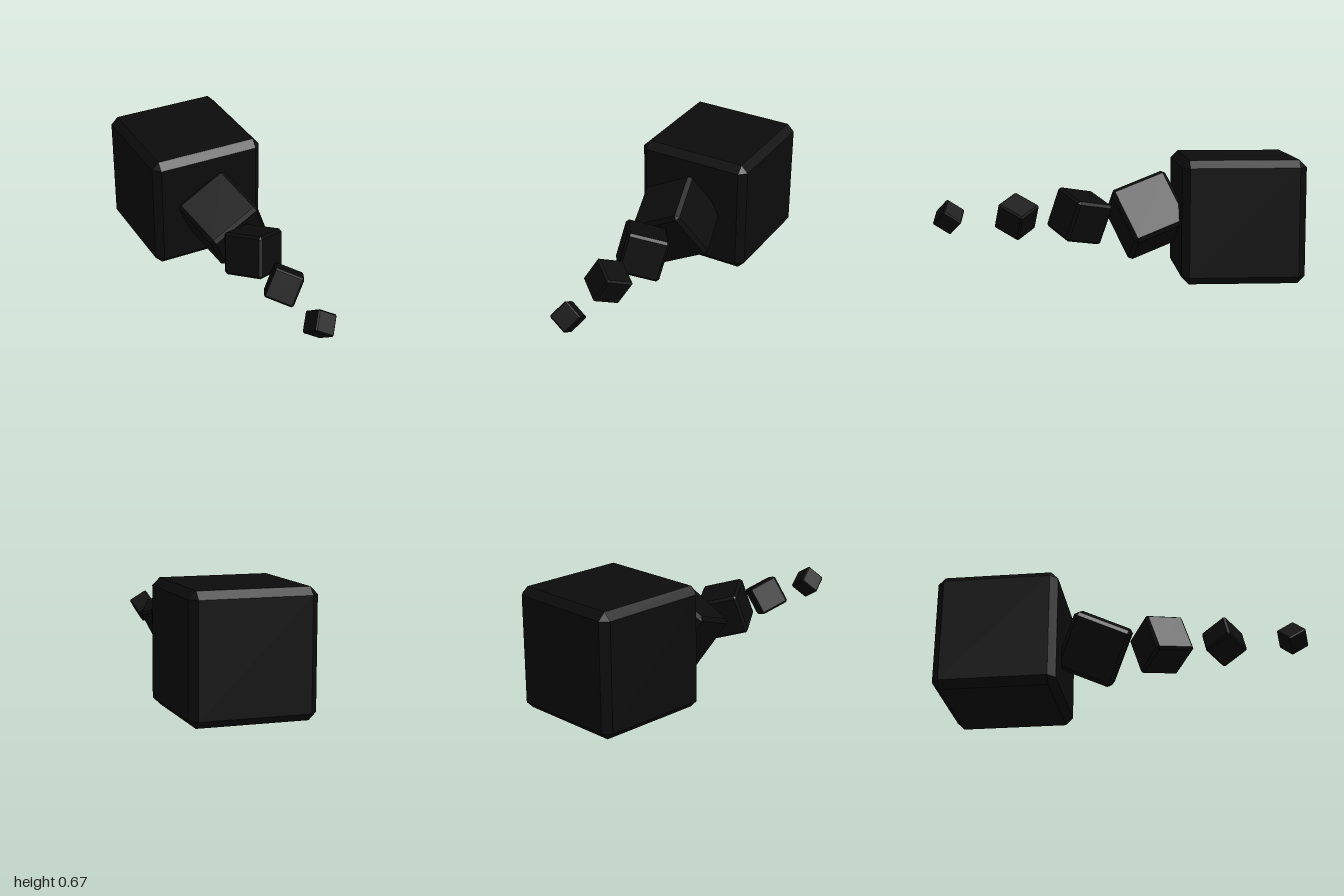
import * as THREE from 'three';
import { ConvexGeometry } from 'three/addons/geometries/ConvexGeometry.js';

// Unit half-size cube with a single flat chamfer on all edges
function chamferedCube(chamfer) {
  const points = [];
  const i = 1 - chamfer;
  for (const x of [-1, 1]) for (const y of [-1, 1]) for (const z of [-1, 1]) {
    points.push(
      new THREE.Vector3(x, y * i, z * i),
      new THREE.Vector3(x * i, y, z * i),
      new THREE.Vector3(x * i, y * i, z)
    );
  }
  return new ConvexGeometry(points);
}

// Orientation from one edge direction and a second one roughly square to it
function orientation(a, b) {
  const x = new THREE.Vector3(...a).normalize();
  const z = x.clone().cross(new THREE.Vector3(...b)).normalize();
  const y = z.clone().cross(x);
  return new THREE.Quaternion().setFromRotationMatrix(new THREE.Matrix4().makeBasis(x, y, z));
}

export function createModel() {
  const group = new THREE.Group();
  group.name = 'tumblingCubes';
  const geometry = chamferedCube(0.12);
  const material = new THREE.MeshStandardMaterial({ color: 0x0c0c0c, flatShading: true });

  // Shrinking, tumbling cubes from back to front: half size, depth, two edge directions
  const cubes = [
    ['largeCube', 0.333, -0.667, [1, 0, 0], [0, 1, 0]],
    ['secondCube', 0.164, -0.17, [0.88, 0.46, -0.06], [-0.37, 0.84, 0.4]],
    ['thirdCube', 0.117, 0.2, [0.825, -0.28, -0.49], [0.14, 0.94, -0.3]],
    ['fourthCube', 0.083, 0.545, [0.72, -0.31, 0.55], [0.5, 0.87, -0.17]],
    ['smallCube', 0.058, 0.917, [0.82, -0.51, 0.12], [-0.53, -0.65, 0.6]]
  ];
  for (const [name, half, z, a, b] of cubes) {
    const cube = new THREE.Mesh(geometry, material);
    cube.name = name;
    cube.scale.setScalar(half);
    cube.position.set(0, 0.333, z);
    cube.quaternion.copy(orientation(a, b));
    group.add(cube);
  }
  return group;
}
